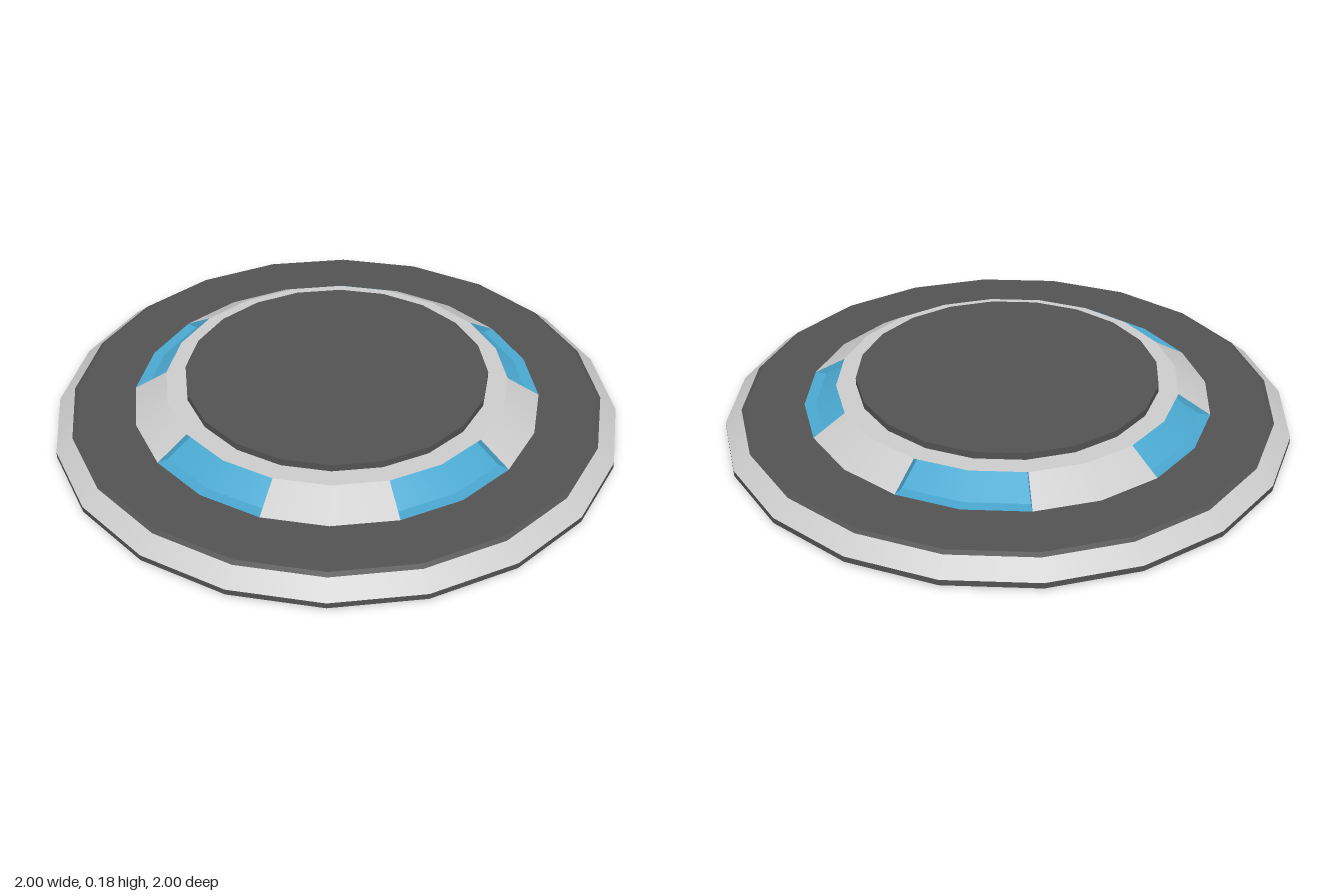
import * as THREE from 'three';

const SIDES = 20;
const STEP = (Math.PI * 2) / 5; // five windows around the dome
const material = (color) => new THREE.MeshStandardMaterial({ color, side: THREE.DoubleSide });

export function createModel() {
  const model = new THREE.Group();
  const grey = material(0xcccccc);
  const dark = material(0x525252);
  const blue = material(0x4aa8d0);

  // Each profile segment is its own band, so rims stay sharp while bands stay smooth
  const bands = (name, mat, profile, start = 0, length = Math.PI * 2, parent = model) => {
    const group = new THREE.Group();
    group.name = name;
    const sides = Math.round((SIDES * length) / (Math.PI * 2));
    for (let i = 0; i < profile.length - 1; i++) {
      const points = [profile[i], profile[i + 1]].map(([r, y]) => new THREE.Vector2(r, y));
      const mesh = new THREE.Mesh(new THREE.LatheGeometry(points, sides, start, length), mat);
      mesh.name = name + 'Band';
      group.add(mesh);
    }
    parent.add(group);
  };

  // Saucer: dark base, grey sloping rim, dark deck
  bands('base', dark, [[0, 0], [0.99, 0], [1, 0.008], [1, 0.028]]);
  bands('rim', grey, [[1, 0.028], [0.94, 0.077]]);
  bands('deck', dark, [[0.94, 0.077], [0.925, 0.085], [0.72, 0.085]]);

  // Dome shoulder and cap
  bands('shoulder', grey, [[0.605, 0.155], [0.5, 0.155]]);
  bands('cap', dark, [[0.535, 0.155], [0.535, 0.18], [0, 0.18]]);

  // Alternating recessed windows and solid panels
  for (let i = 0; i < 5; i++) {
    const start = i * STEP;
    bands('panel', grey, [[0.72, 0.085], [0.605, 0.155]], start, STEP / 2);

    const window = new THREE.Group();
    window.name = 'window';
    bands('windowPane', blue, [[0.72, 0.085], [0.68, 0.085], [0.565, 0.155]], start + STEP / 2, STEP / 2, window);

    // Side walls of the recess
    const wallShape = new THREE.Shape(
      [[0.72, 0.085], [0.605, 0.155], [0.565, 0.155], [0.68, 0.085]].map(([r, y]) => new THREE.Vector2(r, y))
    );
    for (const angle of [start + STEP / 2, start + STEP]) {
      const wall = new THREE.Mesh(new THREE.ShapeGeometry(wallShape), blue);
      wall.name = 'windowSide';
      wall.rotation.y = angle - Math.PI / 2;
      window.add(wall);
    }
    model.add(window);
  }
  return model;
}
